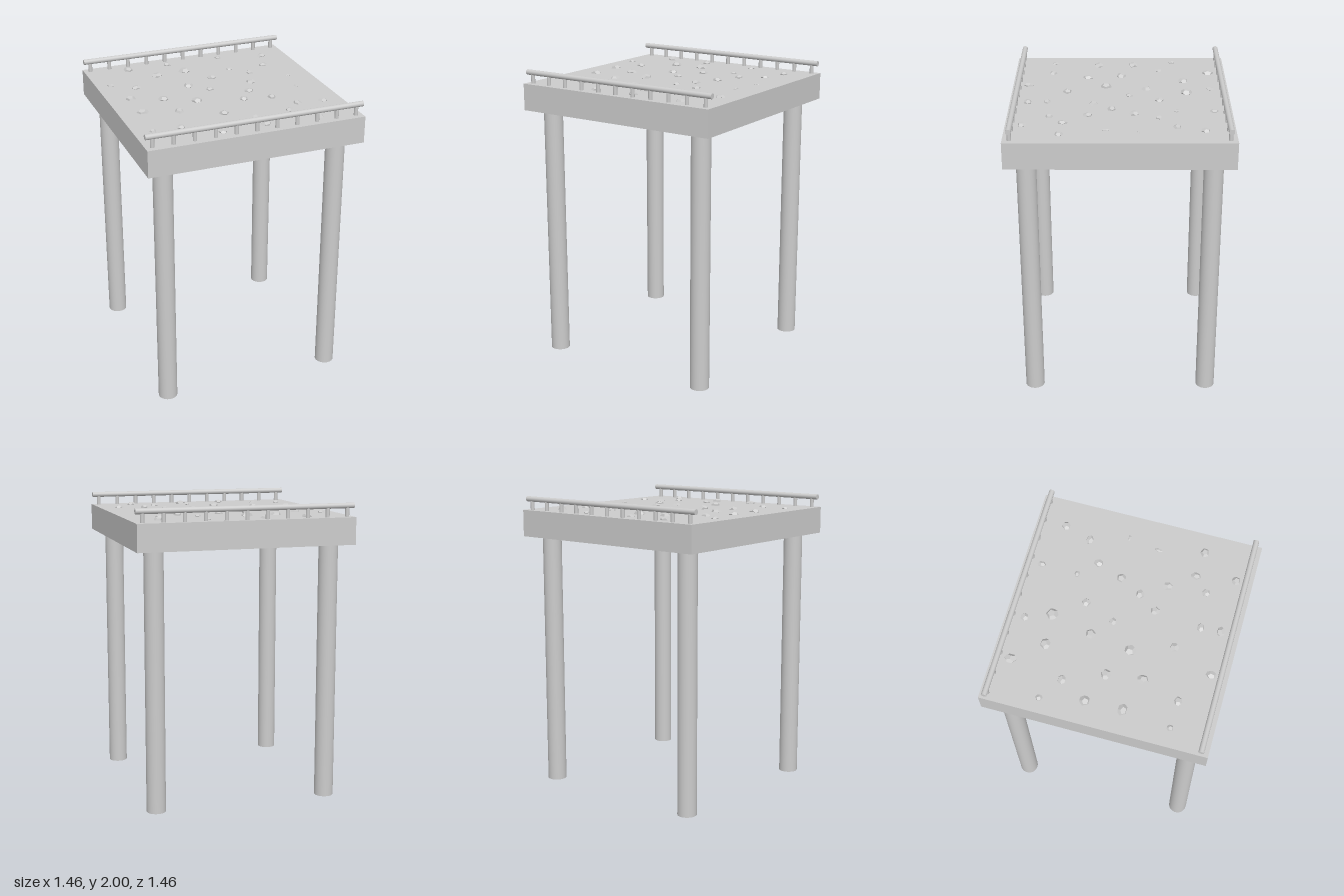
import * as THREE from 'three';

const HALF = 0.728, SLAB_TOP = 1.91, SLAB_BOTTOM = 1.73;
const LEG = 0.592, RAIL_Z = 0.682, RAIL_Y = 1.982;

// Pebbles set in the deck: x, z, half width, half depth
const PEBBLES = [
  [-.43, -.61, .03, .04], [-.14, -.61, .026, .026], [.24, -.61, .02, .028], [.545, -.535, .028, .028],
  [-.28, -.43, .036, .032], [-.075, -.445, .038, .038], [-.63, -.365, .022, .022], [.235, -.37, .022, .018],
  [.49, -.36, .031, .024], [-.48, -.265, .031, .026], [.06, -.26, .028, .028], [.345, -.26, .026, .031],
  [-.14, -.175, .031, .031], [-.575, -.09, .033, .033], [.28, -.09, .03, .03], [.57, -.115, .02, .01],
  [-.025, -.065, .028, .024], [-.375, -.01, .034, .032], [.205, .055, .032, .027], [-.18, .095, .035, .037],
  [.535, .09, .012, .026], [-.57, .15, .039, .03], [.12, .175, .027, .029], [.305, .21, .026, .031],
  [-.345, .22, .028, .036], [-.09, .355, .031, .029], [.42, .365, .024, .033], [.595, .38, .031, .027],
  [-.605, .46, .021, .021], [-.425, .465, .029, .025], [.085, .48, .029, .023], [.325, .455, .025, .025],
  [-.205, .62, .027, .034], [.09, .61, .034, .027], [.455, .62, .029, .027],
];

export function createModel() {
  const model = new THREE.Group();
  const smooth = new THREE.MeshStandardMaterial({ color: 0xcccccc });
  const faceted = new THREE.MeshStandardMaterial({ color: 0xcccccc, flatShading: true });

  const add = (parent, name, geometry, x, y, z, material = smooth) => {
    const mesh = new THREE.Mesh(geometry, material);
    mesh.name = name;
    mesh.position.set(x, y, z);
    parent.add(mesh);
    return mesh;
  };

  // Deck slab
  const slabHeight = SLAB_TOP - SLAB_BOTTOM;
  add(model, 'deck', new THREE.BoxGeometry(HALF * 2, slabHeight, HALF * 2), 0, SLAB_BOTTOM + slabHeight / 2, 0);

  // Four round legs
  const legGeometry = new THREE.CylinderGeometry(0.064, 0.064, SLAB_BOTTOM, 32);
  for (const x of [-LEG, LEG])
    for (const z of [-LEG, LEG]) add(model, 'leg', legGeometry, x, SLAB_BOTTOM / 2, z);

  // Front and back railings: one bar on eleven short posts
  const barGeometry = new THREE.CylinderGeometry(0.018, 0.018, HALF * 2, 20).rotateZ(Math.PI / 2);
  const postHeight = RAIL_Y - SLAB_TOP;
  const postGeometry = new THREE.CylinderGeometry(0.0135, 0.0135, postHeight, 16);
  for (const side of [-1, 1]) {
    const railing = new THREE.Group();
    railing.name = side > 0 ? 'frontRailing' : 'backRailing';
    railing.position.z = side * RAIL_Z;
    add(railing, 'railingBar', barGeometry, 0, RAIL_Y, 0);
    for (let i = -5; i <= 5; i++)
      add(railing, 'railingPost', postGeometry, i * 0.1365, SLAB_TOP + postHeight / 2, 0);
    model.add(railing);
  }

  // Half-buried faceted pebbles, each turned differently
  const pebbles = new THREE.Group();
  pebbles.name = 'pebbles';
  PEBBLES.forEach(([x, z, rx, rz], i) => {
    const rock = new THREE.DodecahedronGeometry(1, 0);
    rock.rotateX(i * 1.3).rotateY(i * 2.1).rotateZ(i * 0.7);
    rock.scale(rx * 1.05, Math.min(rx, rz) * 0.7, rz * 1.05);
    add(pebbles, 'pebble', rock, x, SLAB_TOP, z, faceted);
  });
  model.add(pebbles);

  return model;
}
